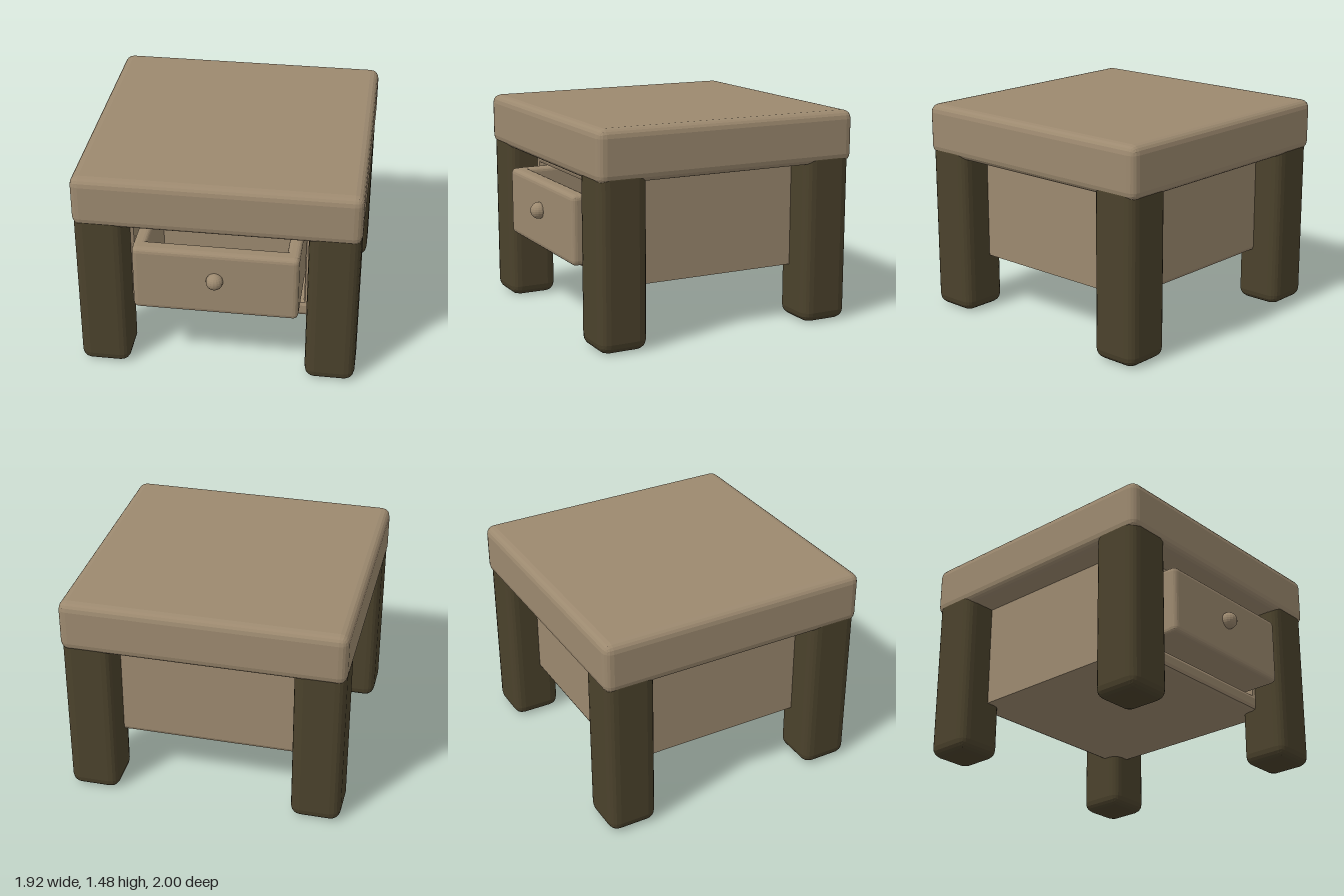
import * as THREE from 'three';
import { RoundedBoxGeometry } from 'three/addons/geometries/RoundedBoxGeometry.js';

export function createModel() {
  const table = new THREE.Group();
  table.name = 'sideTable';
  const lightWood = new THREE.MeshStandardMaterial({ color: 0x9c896f, flatShading: true });
  lightWood.name = 'light wood';
  const darkWood = new THREE.MeshStandardMaterial({ color: 0x4b422c, flatShading: true });
  darkWood.name = 'dark wood';

  const add = (name, geometry, material, parent = table) => {
    const mesh = new THREE.Mesh(geometry, material);
    mesh.name = name;
    parent.add(mesh);
    return mesh;
  };

  // Box given by its min and max corners, with bevelled edges if r > 0
  const block = (name, [x0, y0, z0], [x1, y1, z1], r, material, parent) => {
    const size = [x1 - x0, y1 - y0, z1 - z0];
    const geometry = r > 0 ? new RoundedBoxGeometry(...size, 2, r) : new THREE.BoxGeometry(...size);
    if (r > 0) geometry.computeVertexNormals();
    geometry.translate((x0 + x1) / 2, (y0 + y1) / 2, (z0 + z1) / 2);
    return add(name, geometry, material, parent);
  };

  const rectangle = (target, w, y0, y1) => {
    target.moveTo(-w, y0);
    target.lineTo(w, y0);
    target.lineTo(w, y1);
    target.lineTo(-w, y1);
    target.closePath();
    return target;
  };

  // Thick top
  block('tableTop', [-0.96, 1.12, -1], [0.96, 1.48, 0.92], 0.06, lightWood);

  // Four heavy legs, set into the underside of the top
  for (const [end, z] of [['front', 0.565], ['back', -0.985]]) {
    for (const [side, x] of [['Left', 0.61], ['Right', -0.955]]) {
      block(`${end}${side}Leg`, [x, 0, z], [x + 0.345, 1.22, z + 0.345], 0.07, darkWood);
    }
  }

  // Cabinet: bevelled shell with a drawer opening, closed at the back
  const cabinet = new THREE.Group();
  cabinet.name = 'cabinet';
  table.add(cabinet);
  const bevel = 0.03;
  const back = -0.78, front = 0.7;
  const outline = rectangle(new THREE.Shape(), 0.74, 0.385, 1.13);
  outline.holes.push(rectangle(new THREE.Path(), 0.58, 0.5, 1.0));
  const shell = new THREE.ExtrudeGeometry(outline, {
    depth: front - back - 2 * bevel,
    bevelEnabled: true, bevelSize: bevel, bevelThickness: bevel, bevelOffset: -bevel, bevelSegments: 2,
  });
  shell.translate(0, 0, back + bevel);
  add('cabinetShell', shell, lightWood, cabinet);
  block('cabinetBack', [-0.61, 0.47, back], [0.61, 1.03, 0], 0, lightWood, cabinet);

  // Open drawer, pulled slightly out
  const drawer = new THREE.Group();
  drawer.name = 'drawer';
  table.add(drawer);
  block('drawerFront', [-0.56, 0.51, 0.81], [0.56, 0.99, 0.93], 0.035, lightWood, drawer);
  for (const [name, x] of [['drawerLeftSide', 0.47], ['drawerRightSide', -0.56]]) {
    block(name, [x, 0.51, 0.14], [x + 0.09, 0.99, 0.9], 0.03, lightWood, drawer);
  }
  block('drawerBack', [-0.54, 0.53, 0.15], [0.54, 0.98, 0.24], 0.02, lightWood, drawer);
  block('drawerFloor', [-0.53, 0.511, 0.17], [0.53, 0.58, 0.89], 0, lightWood, drawer);

  // Round knob
  const knob = add('drawerKnob', new THREE.SphereGeometry(0.058, 16, 12), lightWood, drawer);
  knob.position.set(0, 0.785, 0.942);

  return table;
}
